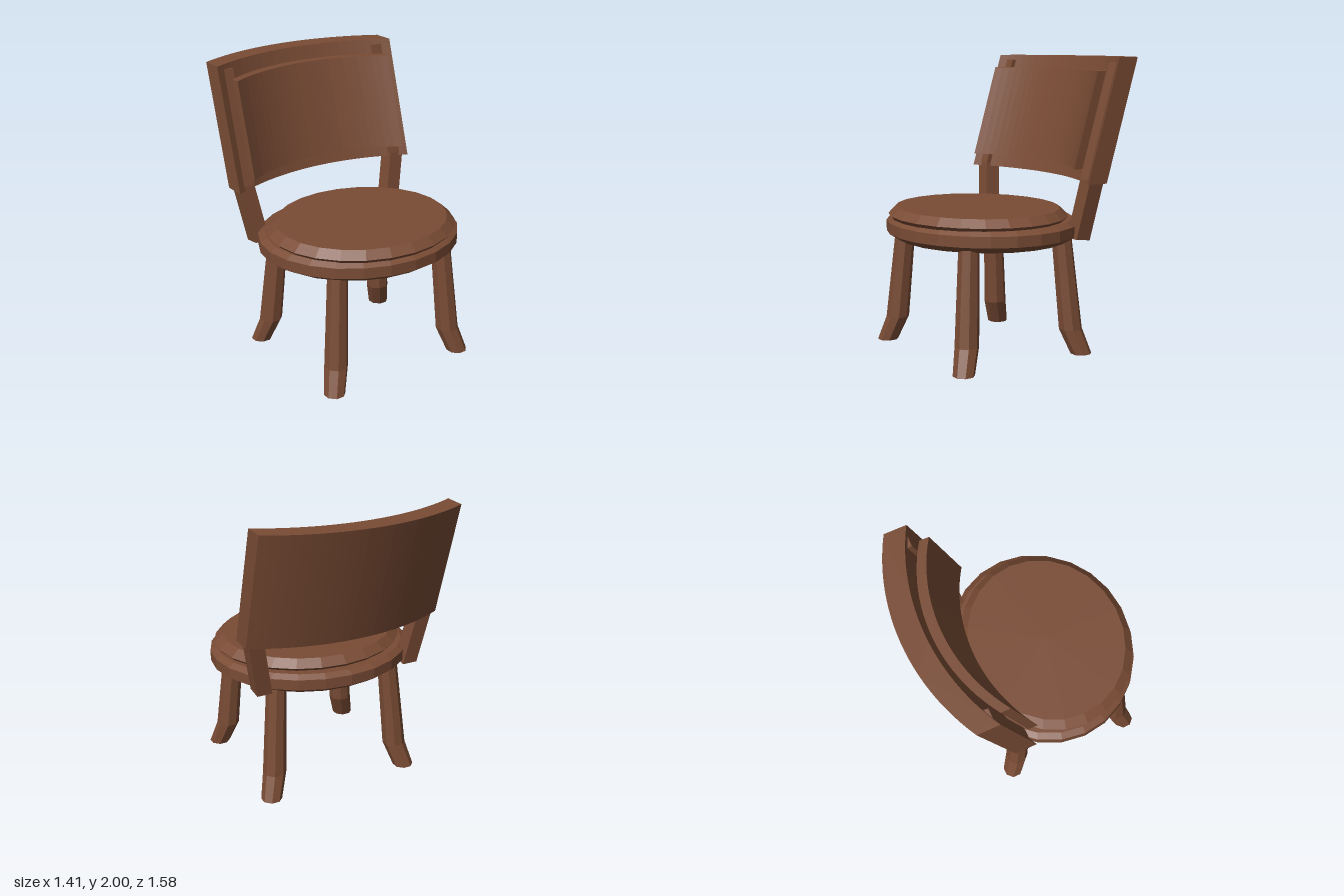
import * as THREE from 'three';

const SEAT_Z = 0.155;

// Prism swept through horizontal sections [y, x, z], listed bottom to top
function sweep(sections, radii, sides, thetaStart, tilt = 0) {
  const last = sections.length - 1;
  const g = new THREE.CylinderGeometry(1, 1, 1, sides, last, false, thetaStart);
  const p = g.attributes.position;
  for (let i = 0; i < p.count; i++) {
    const k = Math.round((p.getY(i) + 0.5) * last);
    const [y, x, z] = sections[k];
    const dx = p.getX(i) * radii[k], dz = p.getZ(i) * radii[k];
    p.setXYZ(i, x + dx, y + dz * tilt, z + dz);
  }
  g.computeVertexNormals();
  return g;
}

// Elliptical disc turned from a [radius, height] profile
function disc(profile, depthScale, z) {
  const g = new THREE.LatheGeometry(profile.map(([r, y]) => new THREE.Vector2(r, y)), 24);
  g.scale(1, 1, depthScale);
  g.translate(0, 0, z);
  return g;
}

// Curved panel leaning backwards; z is the front face at mid-width on the bottom edge
function curvedPanel(halfWidth, sag, thickness, y0, y1, z, lean) {
  const R = (halfWidth ** 2 + sag ** 2) / (2 * sag);
  const front = [], back = [];
  for (let i = 0; i <= 24; i++) {
    const x = halfWidth * (i / 12 - 1);
    const arc = R - Math.sqrt(R * R - x * x);
    front.push(new THREE.Vector2(x, -(z + arc)));
    back.unshift(new THREE.Vector2(x, -(z + arc - thickness)));
  }
  const g = new THREE.ExtrudeGeometry(new THREE.Shape([...front, ...back]), {
    depth: y1 - y0, bevelEnabled: false,
  });
  g.rotateX(-Math.PI / 2);
  const p = g.attributes.position;
  for (let i = 0; i < p.count; i++) p.setZ(i, p.getZ(i) - lean * p.getY(i));
  g.translate(0, y0, 0);
  g.computeVertexNormals();
  return g;
}

export function createModel() {
  const chair = new THREE.Group();
  chair.name = 'chair';
  const wood = new THREE.MeshStandardMaterial({ color: 0x7a4c35 });
  wood.name = 'brown wood';
  wood.flatShading = true;
  const add = (name, geometry) => {
    const mesh = new THREE.Mesh(geometry, wood);
    mesh.name = name;
    chair.add(mesh);
  };

  // Seat base and the raised seat pad
  add('seatBase', disc(
    [[0, 0.775], [0.63, 0.775], [0.707, 0.82], [0.707, 0.893], [0.665, 0.92], [0, 0.92]],
    0.898, SEAT_Z));
  add('seatPad', disc(
    [[0, 0.91], [0.635, 0.91], [0.663, 0.94], [0.605, 0.992], [0, 0.992]],
    0.89, 0.19));

  // Four splayed legs with kicked-out feet
  for (const sx of [1, -1]) {
    for (const sz of [1, -1]) {
      const sections = [[0, 0.523, 0.466], [0.17, 0.473, 0.412], [0.8, 0.427, 0.365]]
        .map(([y, x, z]) => [y, sx * x, SEAT_Z + sz * z]);
      add((sz > 0 ? 'front' : 'rear') + (sx > 0 ? 'LeftLeg' : 'RightLeg'),
        sweep(sections, [0.072, 0.08, 0.069], 8, Math.PI / 8));
    }
  }

  // Bent square posts carrying the backrest
  for (const s of [1, -1]) {
    const sections = [[0.8, s * 0.555, -0.253], [1.2, s * 0.63, -0.305], [1.96, s * 0.63, -0.535]];
    add(s > 0 ? 'leftBackPost' : 'rightBackPost',
      sweep(sections, [0.077, 0.077, 0.077], 4, Math.PI / 4, 0.12));
  }

  // Backrest slab and its front pad
  add('backrest', curvedPanel(0.707, 0.18, 0.152, 1.18, 2.0, -0.395, 0.298));
  add('backrestPad', curvedPanel(0.617, 0.18, 0.066, 1.275, 1.91, -0.348, 0.293));

  return chair;
}
